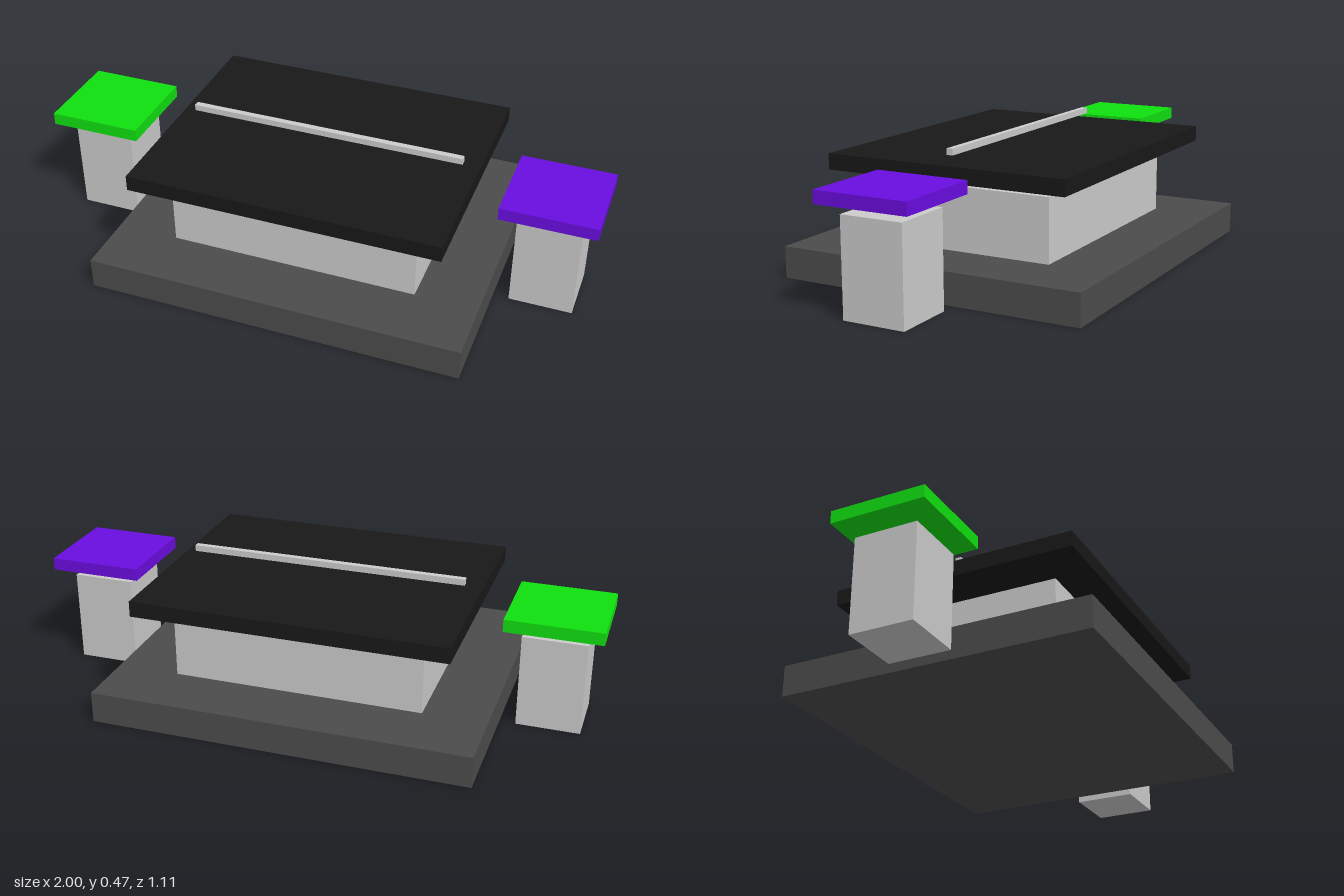
import * as THREE from 'three';

const grey = new THREE.MeshStandardMaterial({ color: 0xcccccc });
const paint = (color) => new THREE.MeshStandardMaterial({ color });

export function createModel() {
  const model = new THREE.Group();

  // Box given by its size, bottom height and x offset
  const box = (name, w, h, d, bottom, material, x = 0) => {
    const mesh = new THREE.Mesh(new THREE.BoxGeometry(w, h, d), material);
    mesh.position.set(x, bottom + h / 2, 0);
    mesh.name = name;
    model.add(mesh);
  };

  // Central table: plinth, body, floating top and bar
  box('base', 1.333, 0.111, 1.111, 0, paint(0x4c4c4c));
  box('body', 0.889, 0.222, 0.667, 0.111, grey);
  box('tableTop', 1.111, 0.0556, 0.889, 0.3667, paint(0x181818));
  box('bar', 1, 0.0222, 0.0222, 0.4467, grey);

  // Two rows of short posts carrying the top
  const postGeometry = new THREE.CylinderGeometry(0.0167, 0.0167, 0.0337, 24);
  for (const x of [-0.333, -0.111, 0.111, 0.333]) {
    for (const z of [-0.222, 0.222]) {
      const post = new THREE.Mesh(postGeometry, grey);
      post.position.set(x, 0.35, z);
      post.name = 'post';
      model.add(post);
    }
  }

  // Side pedestals with coloured pads hovering above them
  for (const [side, label, color] of [[1, 'left', 0x6a0de0], [-1, 'right', 0x10e010]]) {
    box(label + 'Pedestal', 0.222, 0.333, 0.222, 0, grey, side * 0.8333);
    box(label + 'Pad', 0.3333, 0.0444, 0.3333, 0.3687, paint(color), side * 0.8333);
  }

  return model;
}
